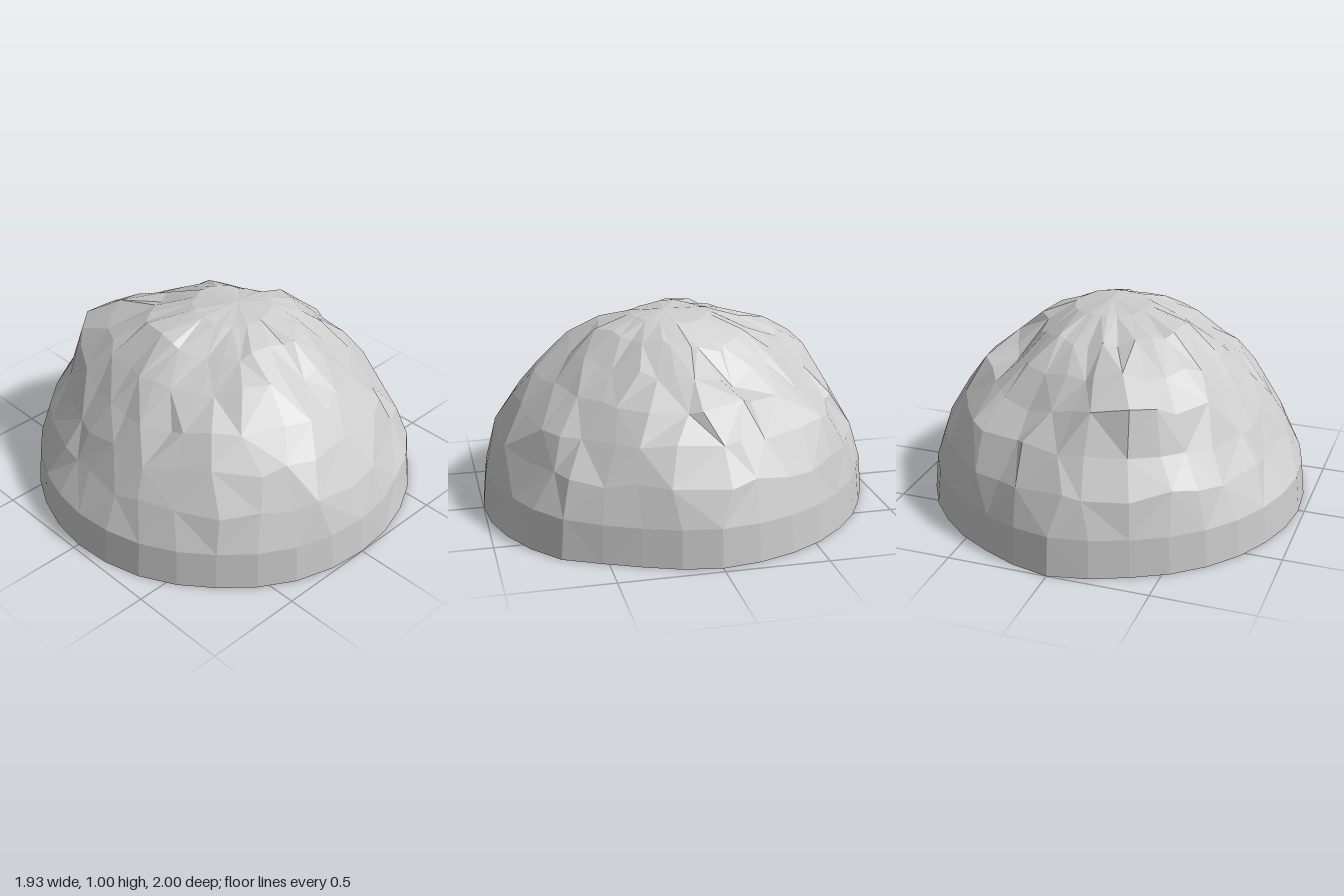
import * as THREE from 'three';

const SEGMENTS = 32;
const RINGS = 8;

// Distance from the centre, per ring from the ground up,
// at 16 headings that start at +z and turn towards +x.
// The first row serves both foot rings, the last one the crown.
const RADII = [
  [1.00, 1.00, 1.00, 0.94, 0.965, 0.95, 0.94, 0.95, 1.00, 0.96, 0.96, 0.96, 0.97, 0.98, 0.98, 1.00],
  [1.00, 0.97, 0.97, 0.94, 0.96, 0.95, 0.95, 0.94, 1.00, 0.97, 0.95, 0.92, 0.91, 0.94, 0.98, 1.00],
  [0.98, 0.96, 0.95, 0.94, 0.95, 0.93, 0.95, 0.92, 0.98, 0.97, 0.94, 0.92, 0.91, 0.93, 0.97, 0.99],
  [0.95, 0.94, 0.93, 0.94, 0.95, 0.92, 0.92, 0.91, 0.99, 1.07, 1.00, 0.94, 0.92, 0.93, 0.97, 1.00],
  [0.96, 0.97, 0.95, 0.95, 0.95, 0.89, 0.94, 0.94, 0.96, 1.02, 1.00, 0.98, 0.95, 0.94, 0.98, 1.01],
  [1.00, 1.00, 0.98, 0.98, 0.97, 0.92, 0.96, 0.97, 0.97, 0.98, 1.00, 1.01, 1.00, 0.96, 0.97, 1.01],
  [1.00, 1.00, 1.00, 0.99, 0.99, 0.98, 0.99, 1.00, 1.00, 1.00, 1.00, 1.01, 1.01, 0.99, 0.99, 1.00],
];

// Small hollows (negative) and knobs: heading, elevation, width in degrees, height
const FEATURES = [
  [23, 17, 9, -0.03],
  [55, 5, 7, -0.03],
  [48, 36, 9, -0.02],
  [32, 46, 8, 0.02],
  [118, 56, 9, -0.02],
  [102, 42, 7, 0.03],
  [146, 28, 7, 0.04],
  [246, 48, 10, -0.02],
  [320, 62, 9, -0.02],
];

function seeded(seed) {
  return () => {
    seed = (seed * 16807) % 2147483647;
    return (seed / 2147483647) * 2 - 1;
  };
}

function featureHeight(heading, elevation) {
  let sum = 0;
  for (const [h, e, width, height] of FEATURES) {
    const turn = ((heading - h + 540) % 360) - 180;
    const across = turn * Math.cos(THREE.MathUtils.degToRad(e));
    sum += height * Math.exp(-(across ** 2 + (elevation - e) ** 2) / width ** 2);
  }
  return sum;
}

// Weathered dome: a faceted half sphere with lumps, gullies and small ledges
function domeGeometry() {
  const noise = seeded(4177);
  const positions = [];
  const index = [];

  for (let ring = 0; ring < RINGS; ring++) {
    const row = RADII[Math.max(0, ring - 1)];
    for (let s = 0; s < SEGMENTS; s++) {
      const k = Math.floor(s / 2);
      let radius = s % 2 ? (row[k] + row[(k + 1) % 16]) / 2 : row[k];
      let heading = (s / SEGMENTS) * Math.PI * 2;
      let elevation = (ring / RINGS) * Math.PI / 2;
      radius += featureHeight((s / SEGMENTS) * 360, (ring / RINGS) * 90);
      if (ring > 1) {
        const rough = ring === RINGS - 1 ? 0.3 : 1;
        radius += noise() * 0.015 * rough;
        heading += noise() * 0.07 * rough;
        elevation += noise() * 0.025 * rough;
      }
      const flat = radius * Math.cos(elevation);
      const lean = Math.max(0, ring - 5) / 3; // crown leans to the summit
      positions.push(
        flat * Math.sin(heading) + 0.05 * lean,
        Math.min(1, radius * Math.sin(elevation)),
        flat * Math.cos(heading) + 0.07 * lean
      );
    }
  }

  const summit = positions.length / 3;
  positions.push(0.05, 1, 0.07);
  const centre = summit + 1;
  positions.push(0, 0, 0);

  for (let s = 0; s < SEGMENTS; s++) {
    const t = (s + 1) % SEGMENTS;
    for (let ring = 0; ring < RINGS - 1; ring++) {
      const a = ring * SEGMENTS + s, b = ring * SEGMENTS + t;
      const c = b + SEGMENTS, d = a + SEGMENTS;
      if ((s + ring) % 2) index.push(a, b, c, a, c, d);
      else index.push(a, b, d, b, c, d);
    }
    const top = (RINGS - 1) * SEGMENTS;
    index.push(top + s, top + t, summit); // crown
    index.push(t, s, centre); // flat underside
  }

  const geometry = new THREE.BufferGeometry();
  geometry.setAttribute('position', new THREE.Float32BufferAttribute(positions, 3));
  geometry.setIndex(index);
  const faceted = geometry.toNonIndexed();
  faceted.computeVertexNormals();
  return faceted;
}

export function createModel() {
  const model = new THREE.Group();
  model.name = 'rockMound';
  const material = new THREE.MeshStandardMaterial({ color: 0xcccccc, flatShading: true });
  const dome = new THREE.Mesh(domeGeometry(), material);
  dome.name = 'rockDome';
  model.add(dome);
  return model;
}
